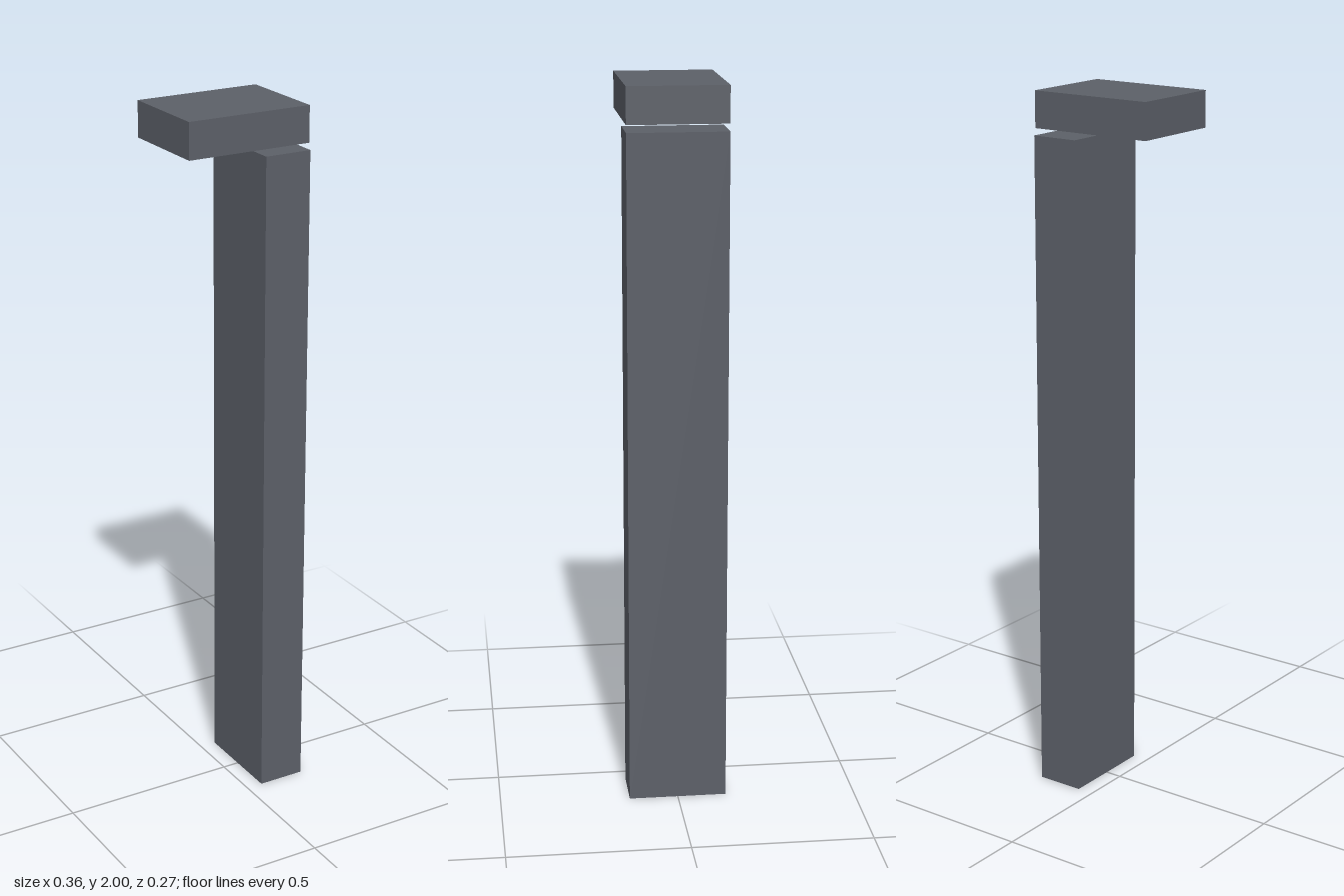
import * as THREE from 'three';

export function createModel() {
  const group = new THREE.Group();
  const material = new THREE.MeshStandardMaterial({ color: 0x5c6068 });
  const depth = 0.273;

  // Box spanning the given x and y limits, centred on z
  function addBox(name, x0, x1, y0, y1) {
    const mesh = new THREE.Mesh(new THREE.BoxGeometry(x1 - x0, y1 - y0, depth), material);
    mesh.name = name;
    mesh.position.set((x0 + x1) / 2, (y0 + y1) / 2, 0);
    group.add(mesh);
  }

  // Tall post, and the overhanging head floating just above it
  addBox('post', 0.047, 0.182, 0, 1.88);
  addBox('head', -0.182, 0.178, 1.9, 2);

  return group;
}
